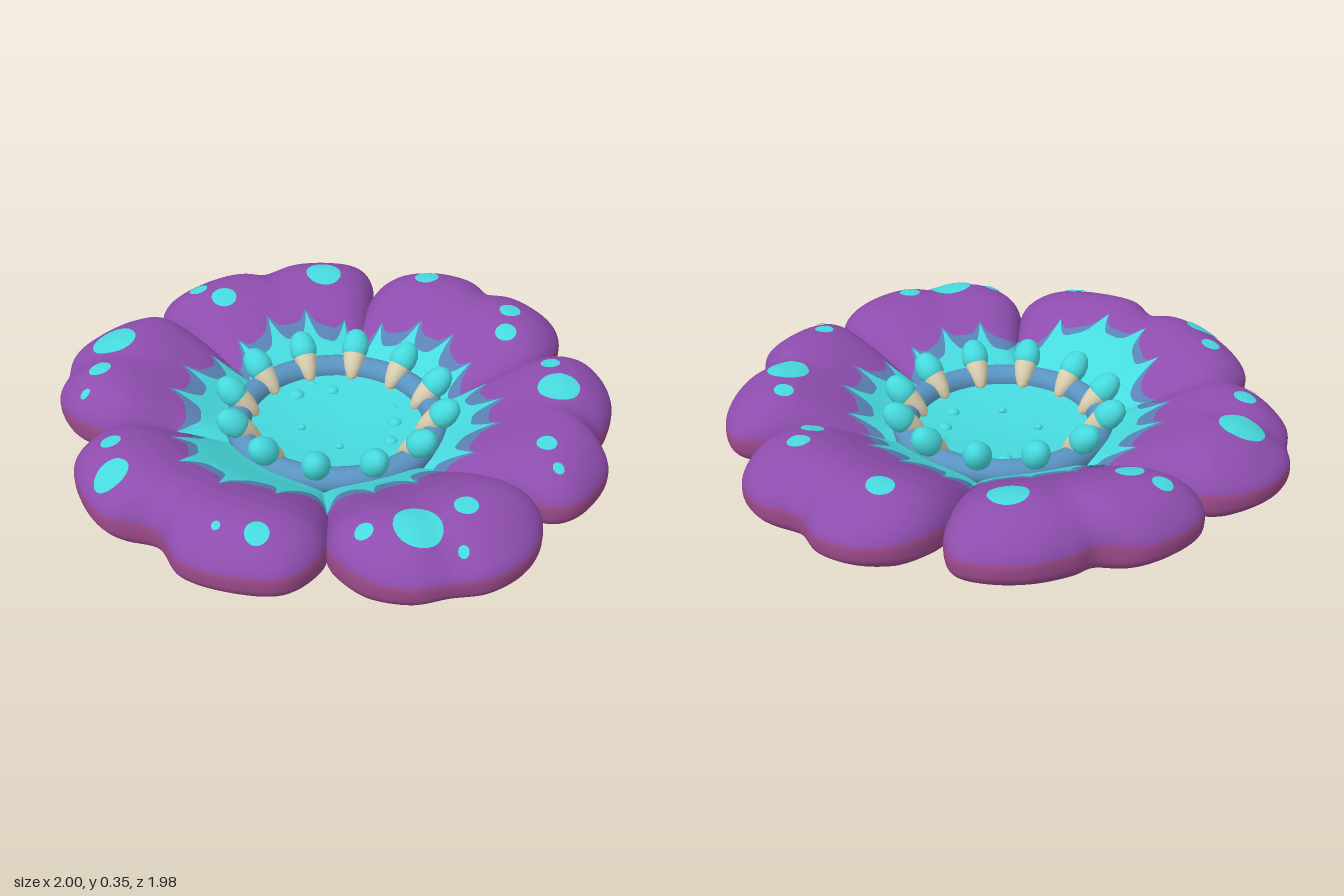
import * as THREE from 'three';

const mat = (name, color, side = THREE.FrontSide) => {
  const m = new THREE.MeshStandardMaterial({ color, side });
  m.name = name;
  return m;
};
const CZ = 0.02; // z of the flower's centre
const { smoothstep } = THREE.MathUtils;

// Piecewise linear profile lookup
const profile = (stops) => (r) => {
  for (let i = 1; i < stops.length; i++) {
    const [r0, y0] = stops[i - 1], [r1, y1] = stops[i];
    if (r <= r1) return y0 + (y1 - y0) * Math.max(0, (r - r0) / (r1 - r0));
  }
  return stops[stops.length - 1][1];
};
const topY = profile([[0, 0.08], [0.3, 0.12], [0.38, 0.17], [0.44, 0.2], [0.5, 0.235], [0.58, 0.278], [0.66, 0.315],
  [0.74, 0.341], [0.8, 0.35], [0.86, 0.348], [0.92, 0.336], [1, 0.31]]);
const midY = profile([[0, 0.07], [0.35, 0.11], [0.6, 0.16], [0.85, 0.2], [1, 0.2]]);
const lowY = profile([[0, 0.006], [0.45, 0.006], [0.6, 0.014], [0.7, 0.026], [0.78, 0.047], [0.86, 0.075], [0.92, 0.094], [1, 0.11]]);

// Grid surface closed in v; pick(u, x, z) chooses the material slot of each cell
function grid(nu, nv, fn, slots = 1, pick = () => 0) {
  const pos = [], lists = Array.from({ length: slots }, () => []);
  for (let i = 0; i <= nu; i++) for (let j = 0; j < nv; j++) pos.push(...fn(i / nu, j / nv));
  for (let i = 0; i < nu; i++) for (let j = 0; j < nv; j++) {
    const k = (j + 1) % nv, a = i * nv + j, b = i * nv + k, c = a + nv, d = b + nv;
    lists[pick((i + 0.5) / nu, pos[a * 3], pos[a * 3 + 2])].push(a, b, c, b, d, c);
  }
  const g = new THREE.BufferGeometry();
  g.setAttribute('position', new THREE.Float32BufferAttribute(pos, 3));
  g.setIndex(lists.flat());
  let start = 0;
  lists.forEach((l, m) => { g.addGroup(start, l.length, m); start += l.length; });
  g.computeVertexNormals();
  return g;
}

// Heart-shaped petal outlines as x, z pairs; neighbours touch along their seams
const mirror = (pts) => pts.map(([x, z]) => [-x, z]).reverse();
const frontHalf = [[0.23, 0.345], [0.41, 0.53], [0.5, 0.67], [0.485, 0.83], [0.34, 0.94], [0.17, 0.985]];
const backHalf = [[0.22, -0.345], [0.37, -0.585], [0.4, -0.72], [0.37, -0.85], [0.28, -0.95], [0.14, -0.99]];
const upperSide = [[0.06, 0.01], [0.2, -0.34], [0.37, -0.63], [0.46, -0.74], [0.54, -0.78], [0.64, -0.74], [0.74, -0.64],
  [0.8, -0.51], [0.82, -0.42], [0.93, -0.32], [0.97, -0.18], [0.96, -0.06], [0.9, 0.005], [0.7, 0.022], [0.4, 0.025]];
const lowerSide = [[0.06, 0.03], [0.4, 0.015], [0.7, 0.012], [0.89, 0.04], [0.97, 0.14], [1, 0.27], [0.97, 0.41],
  [0.89, 0.51], [0.82, 0.61], [0.7, 0.67], [0.6, 0.675], [0.49, 0.64], [0.35, 0.48], [0.22, 0.35]];
const outlines = [
  ['frontPetal', [[0, 0.08], ...frontHalf, [0, 0.925], ...mirror(frontHalf)], [0, 0.66]],
  ['backPetal', [[0, -0.04], ...backHalf, [0, -0.95], ...mirror(backHalf)], [0, -0.64]],
  ['leftBackPetal', upperSide, [0.57, -0.33]], ['rightBackPetal', mirror(upperSide), [-0.57, -0.33]],
  ['leftFrontPetal', lowerSide, [0.6, 0.33]], ['rightFrontPetal', mirror(lowerSide), [-0.6, 0.33]],
];
const SEG = 112;
const petals = outlines.map(([name, pts, c]) => {
  const curve = new THREE.CatmullRomCurve3(pts.map(([x, z]) => new THREE.Vector3(x, 0, z)), true, 'centripetal');
  const rim = curve.getPoints(SEG).slice(0, SEG).map((p) => [p.x - c[0], p.z - c[1]]);
  let area = 0;
  rim.forEach((p, i) => { const q = rim[(i + 1) % SEG]; area += p[0] * q[1] - p[1] * q[0]; });
  if (area < 0) rim.reverse();
  return { name, c, rim };
});

// Height of a petal at t (0 = its middle, 1 = its rim), top or underside
function petalY(p, x, z, t, under) {
  const r = Math.hypot(x, z - CZ), mid = midY(r), k = Math.sqrt(Math.max(0, 1 - t ** 4));
  if (under) {
    const low = lowY(r), lobe = smoothstep(t, 0.5, 0.85) * smoothstep(r, 0.4, 0.7);
    return mid - (mid - low - Math.max(0, 0.095 - low) * lobe) * k ** 0.6;
  }
  const len = Math.hypot(p.c[0], p.c[1] - CZ);
  const off = (x * (p.c[1] - CZ) - (z - CZ) * p.c[0]) / len;
  const groove = 0.02 * Math.exp(-((off / 0.07) ** 2)) * smoothstep(r, 0.55, 0.95);
  return mid + (topY(r) - groove - mid) * k;
}
// Top of whichever petal lies at x, z
function surfaceY(x, z) {
  let best = midY(Math.hypot(x, z - CZ));
  for (const p of petals) {
    const wx = x - p.c[0], wz = z - p.c[1];
    for (let i = 0; i < SEG; i++) {
      const a = p.rim[i], b = p.rim[(i + 1) % SEG], d = a[0] * b[1] - a[1] * b[0];
      const s = (wx * b[1] - wz * b[0]) / d, t = (a[0] * wz - a[1] * wx) / d;
      if (s < 0 || t < 0) continue;
      if (s + t < 1) best = Math.max(best, petalY(p, x, z, s + t, false));
      break;
    }
  }
  return best;
}
// Thin painted patch lying on the petals, between two radii
const drape = (cx, cz, inner, outer, nu, nv, lift) => grid(nu, nv, (u, v) => {
  const a = v * Math.PI * 2, r = inner + (outer(a) - inner) * u;
  const x = cx + r * Math.cos(a), z = cz + r * Math.sin(a);
  return [x, surfaceY(x, z) + lift, z];
});

export function createModel() {
  const purple = mat('petal purple', 0x8e4dae), pink = mat('rim mauve', 0x9c4a8c);
  const cyan = mat('turquoise', 0x46dade, THREE.DoubleSide), blue = mat('splash blue', 0x5a82b6, THREE.DoubleSide);
  const ringBlue = mat('ring blue', 0x5a94c2), cream = mat('tooth cream', 0xdad0b0);
  const model = new THREE.Group();
  const add = (name, geo, material, parent = model) => {
    const m = new THREE.Mesh(geo, material);
    m.name = name;
    parent.add(m);
    return m;
  };

  // Six puffy petals with a mauve outer rim, undercut beneath the lobes
  for (const p of petals) {
    const geo = grid(44, SEG, (u, v) => {
      const t = Math.sin(u * Math.PI), [dx, dz] = p.rim[Math.round(v * SEG) % SEG];
      const x = p.c[0] + dx * t, z = p.c[1] + dz * t;
      return [x, petalY(p, x, z, t, u > 0.5), z];
    }, 2, (u, x, z) => (u > 0.45 && u < 0.615 && Math.hypot(x, z - CZ) > 0.74 ? 1 : 0));
    add(p.name, geo, [purple, pink]);
  }

  // Spiky splash around the mouth, blue edge under turquoise
  const splash = (base, swell, spike, front) => (a) => {
    const bump = Math.abs(Math.cos(3 * (a - Math.PI / 6)));
    const points = (1 - Math.abs(Math.cos(12 * a))) ** 2;
    return base + swell * bump + spike * points + front * Math.max(0, Math.sin(a)) ** 6;
  };
  add('splashEdge', drape(0, CZ, 0.32, splash(0.485, 0.06, 0.06, 0.1), 20, 384, 0.005), blue);
  add('splash', drape(0, CZ, 0.32, splash(0.435, 0.05, 0.1, 0.125), 20, 384, 0.009), cyan);

  // Round spots: x, z, radius
  const spots = [[-0.21, -0.77, 0.047], [0.19, -0.77, 0.04], [0.25, -0.66, 0.04],
    [0.51, -0.57, 0.035], [0.62, -0.46, 0.075], [0.78, -0.15, 0.035], [0.87, -0.09, 0.02],
    [-0.54, -0.53, 0.068], [-0.72, -0.15, 0.048], [-0.84, -0.13, 0.035],
    [-0.81, 0.34, 0.08], [-0.7, 0.51, 0.04], [-0.66, 0.62, 0.018],
    [0.78, 0.3, 0.04], [0.72, 0.47, 0.08], [0.6, 0.59, 0.03], [0.87, 0.43, 0.018],
    [-0.35, 0.78, 0.035], [-0.23, 0.89, 0.06], [0.35, 0.81, 0.04], [0.23, 0.87, 0.015]];
  for (const [x, z, r] of spots) add('spot', drape(x, z, 0, () => r, 5, 24, 0.005), cyan);

  // Centre: shallow floor, ring and flat base
  const centre = new THREE.Group();
  centre.name = 'centre';
  centre.position.z = CZ;
  model.add(centre);
  const v2 = (pts) => pts.map(([x, y]) => new THREE.Vector2(x, y));
  add('mouthFloor', new THREE.LatheGeometry(v2([[0, 0.14], [0.12, 0.143], [0.24, 0.152], [0.36, 0.17]]), 48), cyan, centre);
  add('base', new THREE.CylinderGeometry(0.4, 0.36, 0.02, 48), purple, centre).position.y = 0.01;
  const ring = add('ring', new THREE.TorusGeometry(0.355, 0.047, 14, 72), ringBlue, centre);
  ring.rotation.x = Math.PI / 2;
  ring.position.y = 0.17;

  // Twelve claws: cream point down in the mouth, turquoise bulb leaning out over the ring
  const point = new THREE.LatheGeometry(v2([[0, -0.025], [0.018, -0.015], [0.032, 0.02], [0.04, 0.055], [0.043, 0.085]]), 16);
  const bulb = new THREE.LatheGeometry(v2([[0.037, 0.07], [0.046, 0.078], [0.051, 0.1], [0.047, 0.13], [0.033, 0.158], [0.015, 0.17], [0, 0.172]]), 16);
  for (let i = 0; i < 12; i++) {
    const arm = new THREE.Group(), claw = new THREE.Group();
    arm.name = 'clawArm';
    claw.name = 'claw';
    arm.rotation.y = i * Math.PI / 6;
    claw.position.set(0, 0.175, 0.308);
    claw.rotation.x = 0.8;
    add('clawPoint', point, cream, claw);
    add('clawBulb', bulb, cyan, claw);
    arm.add(claw);
    centre.add(arm);
  }

  // Small bubbles on the floor
  const bubbles = [[-0.24, -0.12, 0.02], [-0.16, -0.14, 0.025], [-0.24, -0.03, 0.03], [0.15, -0.13, 0.025],
    [0.21, -0.03, 0.025], [0.09, -0.2, 0.015], [-0.09, 0.11, 0.015], [0.09, 0.11, 0.015]];
  for (const [x, z, r] of bubbles) {
    const b = add('bubble', new THREE.SphereGeometry(r, 14, 10), cyan);
    b.position.set(x, 0.148, z);
    b.scale.y = 0.7;
  }
  return model;
}
